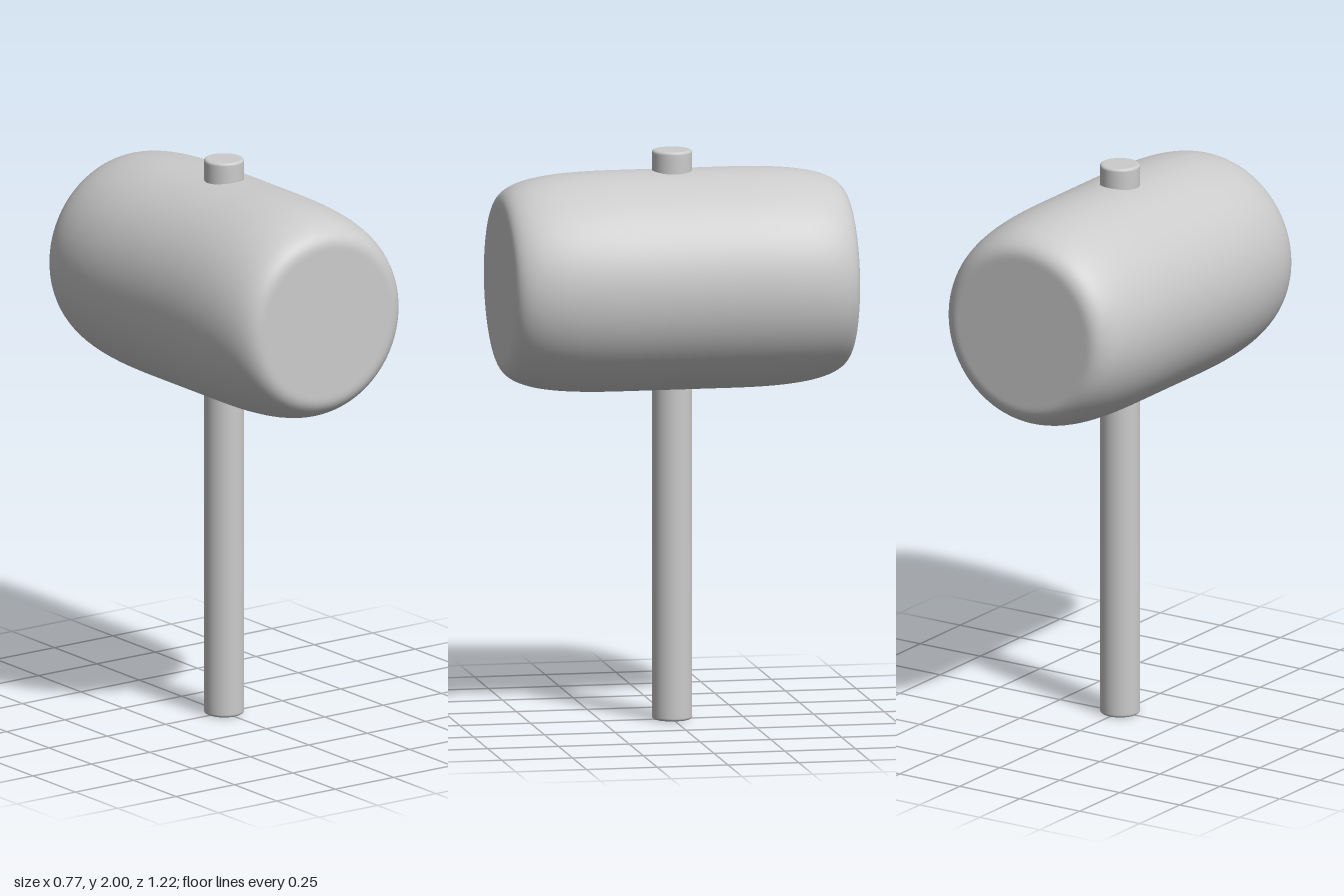
import * as THREE from 'three';

const material = new THREE.MeshStandardMaterial({ color: 0xcccccc });

const v2 = (x, y) => new THREE.Vector2(x, y);

function lathePart(name, profile, segments) {
  const mesh = new THREE.Mesh(new THREE.LatheGeometry(profile, segments), material);
  mesh.name = name;
  return mesh;
}

export function createModel() {
  const group = new THREE.Group();
  group.name = 'mallet';

  // Head: barrel with softly rounded ends and flat striking faces
  const half = 0.61;
  const shoulder = new THREE.CubicBezierCurve(
    v2(0.384, 0.2), v2(0.384, 0.45), v2(0.36, half), v2(0.27, half)
  ).getPoints(24);
  const upper = [...shoulder, v2(0.26, half), v2(0, half)];
  const lower = upper.map((p) => v2(p.x, -p.y)).reverse();
  const head = lathePart('head', [...lower, ...upper], 96);
  head.rotation.x = Math.PI / 2;
  head.position.y = 1.545;
  group.add(head);

  // Handle: straight rod through the head, with slightly eased ends
  const r = 0.07;
  const ease = 0.01;
  const topRim = [];
  for (let i = 0; i <= 5; i++) {
    const a = (i / 5) * Math.PI / 2;
    topRim.push(v2(r - ease + ease * Math.cos(a), 1 - ease + ease * Math.sin(a)));
  }
  const topHalf = [v2(r, 0.97), ...topRim, v2(r - ease - 0.004, 1), v2(0, 1)];
  const bottomHalf = topHalf.map((p) => v2(p.x, -p.y)).reverse();
  const handle = lathePart('handle', [...bottomHalf, ...topHalf], 48);
  handle.position.y = 1;
  group.add(handle);

  return group;
}
